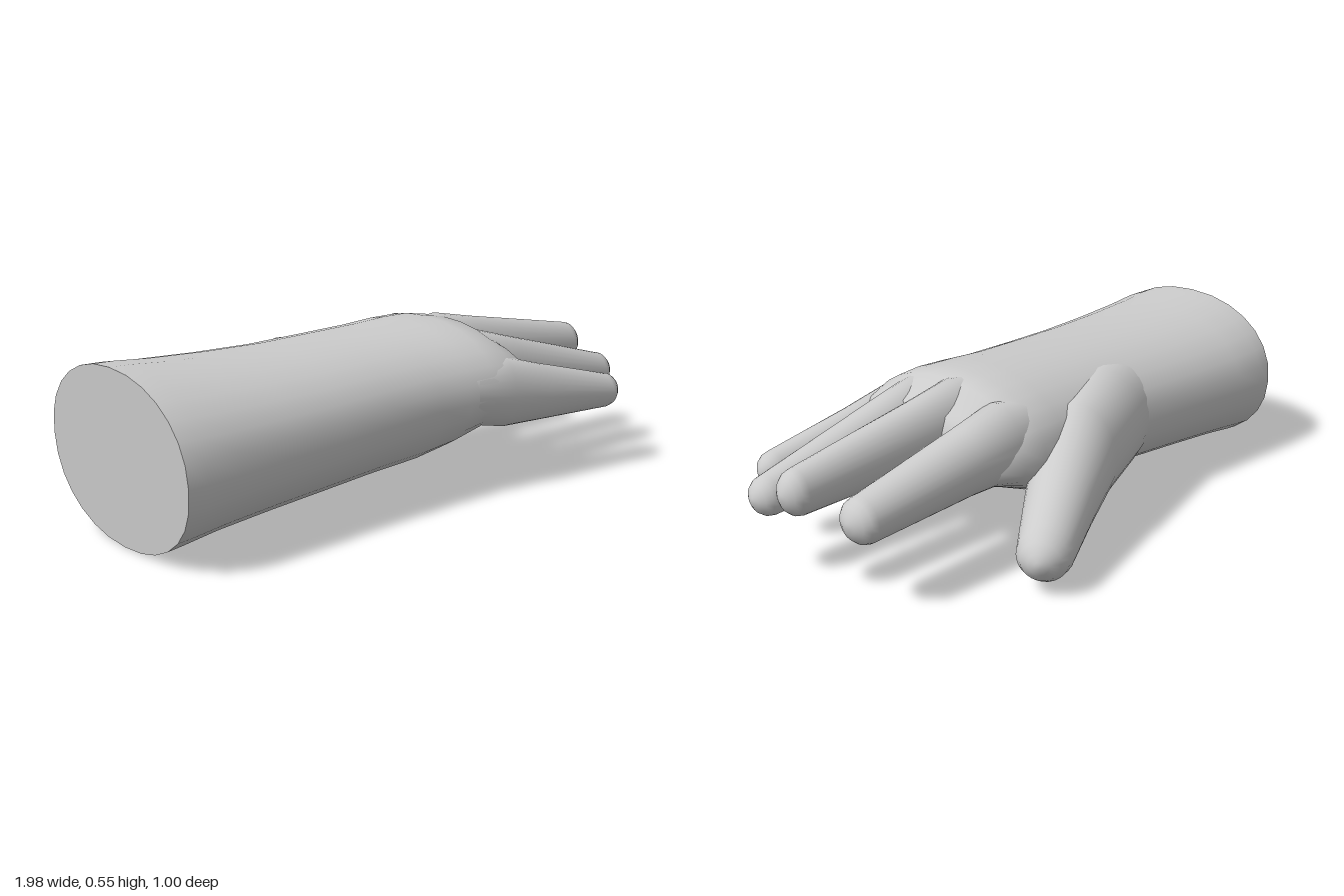
import * as THREE from 'three';

const SIDES = 28;
const material = new THREE.MeshStandardMaterial({ color: 0xcccccc });

// Loft of rounded rings. A section is [x, y, z, halfWidth, up, down].
// yaw turns the rings about y, dome is the length of the rounded end,
// power below 1 makes the rings fuller, lean tips the first ring, flatStart closes it.
function loft(name, sections, { yaw = 0, dome = 0.06, power = 1, lean = 0, flatStart = false } = {}) {
  const forward = new THREE.Vector3(Math.cos(yaw), 0, Math.sin(yaw));
  const side = new THREE.Vector3(-Math.sin(yaw), 0, Math.cos(yaw));
  const rings = sections.map((s) => [...s]);
  const end = sections[sections.length - 1];
  for (const t of [0.25, 0.5, 0.75, 0.92]) {
    const a = (t * Math.PI) / 2;
    const k = Math.cos(a), d = Math.sin(a) * dome;
    rings.push([end[0] + forward.x * d, end[1], end[2] + forward.z * d, end[3] * k, end[4] * k, end[5] * k]);
  }
  const soft = (v) => Math.sign(v) * Math.abs(v) ** power;
  const pos = [], index = [];
  rings.forEach(([x, y, z, w, up, down], i) => {
    for (let j = 0; j < SIDES; j++) {
      const a = (j / SIDES) * Math.PI * 2;
      const u = soft(Math.cos(a)) * w;
      const s = soft(Math.sin(a));
      const v = s * (s > 0 ? up : down);
      pos.push(x + side.x * u - (i === 0 ? lean * v : 0), y + v, z + side.z * u);
    }
  });
  for (let i = 0; i < rings.length - 1; i++) {
    for (let j = 0; j < SIDES; j++) {
      const a = i * SIDES + j, b = i * SIDES + ((j + 1) % SIDES);
      index.push(a, a + SIDES, b, b, a + SIDES, b + SIDES);
    }
  }
  // tip point
  const tip = pos.length / 3, last = (rings.length - 1) * SIDES;
  pos.push(end[0] + forward.x * dome, end[1], end[2] + forward.z * dome);
  for (let j = 0; j < SIDES; j++) index.push(last + j, tip, last + ((j + 1) % SIDES));
  // flat start with its own corners, so the rim stays sharp
  if (flatStart) {
    const c = pos.length / 3;
    pos.push(...sections[0].slice(0, 3), ...pos.slice(0, SIDES * 3));
    for (let j = 0; j < SIDES; j++) index.push(c, c + 1 + j, c + 1 + ((j + 1) % SIDES));
  }
  const geometry = new THREE.BufferGeometry();
  geometry.setAttribute('position', new THREE.Float32BufferAttribute(pos, 3));
  geometry.setIndex(index);
  geometry.computeVertexNormals();
  const mesh = new THREE.Mesh(geometry, material);
  mesh.name = name;
  return mesh;
}

export function createModel() {
  const hand = new THREE.Group();
  hand.name = 'hand';

  // forearm, wrist and palm in one sweep
  hand.add(loft('forearmAndPalm', [
    [-0.98, 0.28, 0.08, 0.375, 0.278, 0.275],
    [-0.92, 0.285, 0.08, 0.383, 0.27, 0.27],
    [-0.8, 0.288, 0.08, 0.375, 0.257, 0.255],
    [-0.6, 0.295, 0.083, 0.358, 0.242, 0.245],
    [-0.4, 0.3, 0.087, 0.343, 0.235, 0.235],
    [-0.2, 0.31, 0.087, 0.335, 0.23, 0.23],
    [0, 0.32, 0.087, 0.335, 0.225, 0.228],
    [0.12, 0.325, 0.09, 0.345, 0.227, 0.205],
    [0.22, 0.33, 0.095, 0.355, 0.222, 0.165],
    [0.3, 0.33, 0.105, 0.352, 0.21, 0.13],
    [0.38, 0.325, 0.12, 0.335, 0.16, 0.1],
  ], { power: 0.93, lean: 0.045, flatStart: true }));

  // fingers: root inside the palm, knuckle, middle, tip
  const fingers = {
    indexFinger: [
      [0.15, 0.38, -0.12, 0.09, 0.11, 0.12],
      [0.3, 0.375, -0.125, 0.105, 0.14, 0.125],
      [0.46, 0.36, -0.12, 0.094, 0.115, 0.11],
      [0.86, 0.31, -0.115, 0.076, 0.074, 0.076],
    ],
    middleFinger: [
      [0.15, 0.43, 0.07, 0.08, 0.1, 0.12],
      [0.3, 0.42, 0.075, 0.092, 0.128, 0.14],
      [0.46, 0.4, 0.082, 0.078, 0.117, 0.115],
      [0.93, 0.358, 0.095, 0.064, 0.076, 0.076],
    ],
    ringFinger: [
      [0.15, 0.4, 0.24, 0.08, 0.1, 0.12],
      [0.3, 0.385, 0.245, 0.092, 0.135, 0.14],
      [0.46, 0.36, 0.255, 0.083, 0.115, 0.12],
      [0.91, 0.285, 0.268, 0.065, 0.067, 0.065],
    ],
    littleFinger: [
      [0.15, 0.34, 0.37, 0.07, 0.09, 0.1],
      [0.3, 0.325, 0.385, 0.078, 0.125, 0.115],
      [0.46, 0.3, 0.405, 0.07, 0.105, 0.09],
      [0.75, 0.27, 0.443, 0.058, 0.062, 0.06],
    ],
  };
  for (const [name, sections] of Object.entries(fingers)) hand.add(loft(name, sections));

  // thumb, splayed outwards and downwards
  hand.add(loft('thumb', [
    [-0.4, 0.32, -0.04, 0.17, 0.17, 0.18],
    [-0.2, 0.3, -0.125, 0.16, 0.2, 0.19],
    [0.03, 0.26, -0.215, 0.14, 0.2, 0.17],
    [0.22, 0.195, -0.315, 0.115, 0.135, 0.13],
    [0.39, 0.13, -0.41, 0.092, 0.092, 0.092],
  ], { yaw: -0.5, dome: 0.1 }));

  return hand;
}
